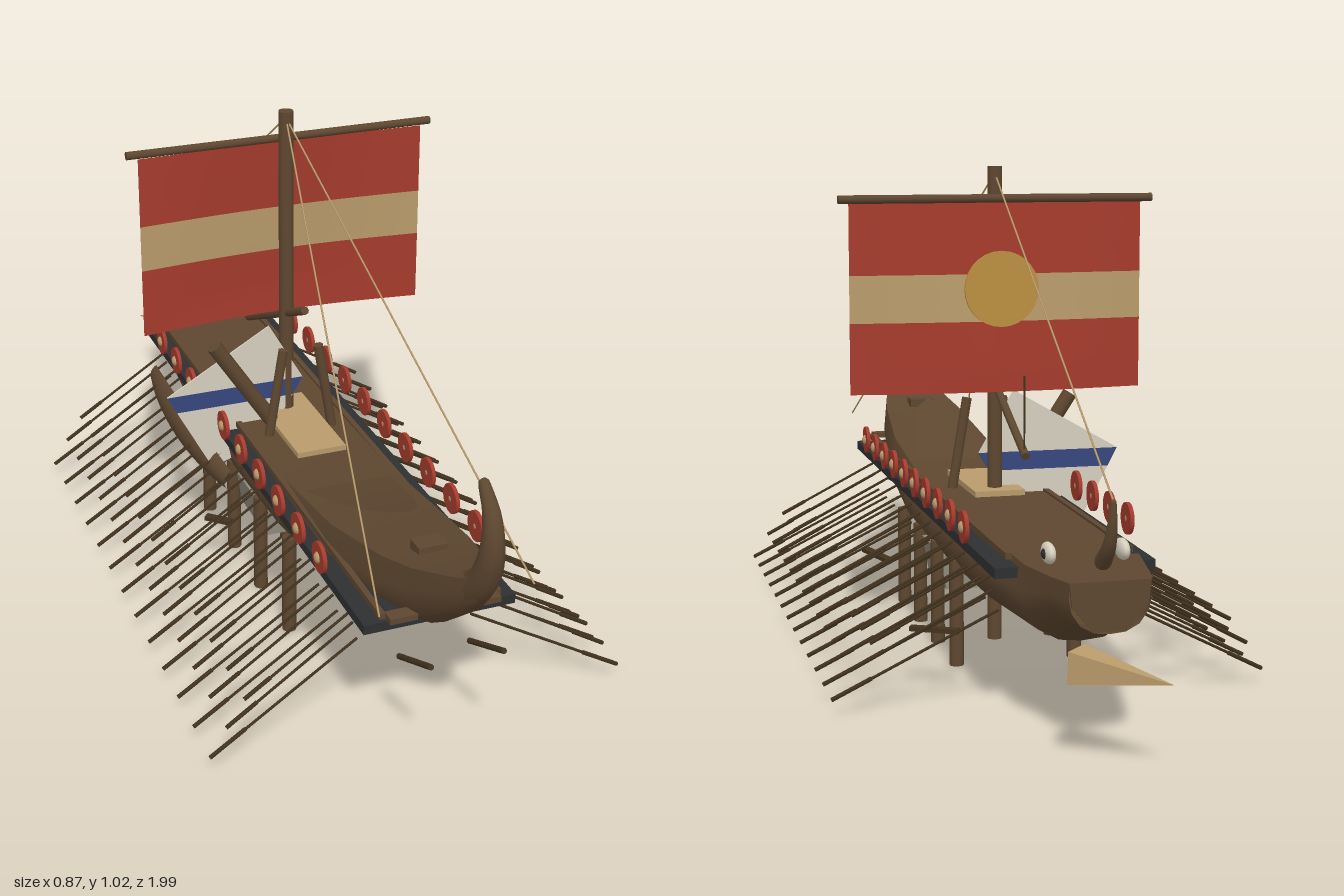
import * as THREE from 'three';

const mat = (name, color, side = THREE.DoubleSide) => {
  const m = new THREE.MeshStandardMaterial({ color, side });
  m.name = name;
  return m;
};

export function createModel() {
  const ship = new THREE.Group();
  ship.name = 'galley';
  const wood = mat('hull wood', 0x5e4730), oarWood = mat('oar wood', 0x43331f);
  const red = mat('red', 0xa63b2d), tan = mat('tan', 0xb99b6b), charcoal = mat('charcoal', 0x2e2f31);
  const white = mat('white', 0xd6d0be), blue = mat('blue', 0x36477f);
  const gold = mat('gold', 0xbb9040), grey = mat('grey', 0x8f897b);

  const add = (name, geo, m, x = 0, y = 0, z = 0, parent = ship) => {
    const mesh = new THREE.Mesh(geo, m);
    mesh.name = name;
    mesh.position.set(x, y, z);
    parent.add(mesh);
    return mesh;
  };
  const box = (name, m, w, h, d, x, y, z) => add(name, new THREE.BoxGeometry(w, h, d), m, x, y, z);
  const UP = new THREE.Vector3(0, 1, 0);
  // Round bar between two points
  const rod = (name, m, a, b, r, seg = 8, r2 = r, parent = ship) => {
    const A = new THREE.Vector3(...a), B = new THREE.Vector3(...b), d = B.clone().sub(A);
    const mesh = add(name, new THREE.CylinderGeometry(r2, r, d.length(), seg), m, 0, 0, 0, parent);
    mesh.position.copy(A).add(B).multiplyScalar(0.5);
    mesh.quaternion.setFromUnitVectors(UP, d.normalize());
    return mesh;
  };
  // Surface from a rule fn(u, v) -> [x, y, z]
  const surface = (nu, nv, fn) => {
    const g = new THREE.PlaneGeometry(1, 1, nu, nv), p = g.attributes.position;
    for (let j = 0, k = 0; j <= nv; j++) {
      for (let i = 0; i <= nu; i++) p.setXYZ(k++, ...fn(i / nu, j / nv));
    }
    g.computeVertexNormals();
    return g;
  };
  // Flat sheet in the xy plane
  const sheet = (pts, depth = 0.004) => new THREE.ExtrudeGeometry(
    new THREE.Shape(pts.map(p => new THREE.Vector2(...p))), { depth, bevelEnabled: false });

  // Hull stations: z, half width, gunwale height, keel height, bulge
  const stations = [
    [-0.87, 0.075, 0.325, 0.23, 1], [-0.8, 0.09, 0.322, 0.228, 1], [-0.7, 0.108, 0.32, 0.172, 1.05],
    [-0.4, 0.112, 0.32, 0.157, 1.22], [0, 0.112, 0.32, 0.15, 1.27], [0.25, 0.112, 0.325, 0.16, 1.25],
    [0.5, 0.11, 0.358, 0.195, 1.15], [0.7, 0.092, 0.4, 0.25, 1.08], [0.8, 0.072, 0.425, 0.293, 1.03],
    [0.9, 0.042, 0.46, 0.375, 1], [0.95, 0.02, 0.48, 0.425, 1]];
  const section = [[0, 0], [0.38, 0.03], [0.72, 0.17], [0.94, 0.42], [1, 0.66], [0, 1]];
  const hullPoint = (i, j) => {
    const [z, hw, gy, ky, bulge] = stations[i], s = j < 5 ? 1 : -1;
    const k = s > 0 ? 5 - j : j - 5;
    const [f, h] = section[k];
    return k === 5 ? [s * hw, gy, z] : [s * f * hw * bulge, ky + (gy - ky) * h, z];
  };
  const last = stations.length - 1;
  add('hull', surface(10, last, (u, v) => {
    const j = Math.round(u * 10), i = Math.round(v * last);
    if (j === 10) return [-stations[i][1], stations[i][2], stations[i][0]];
    return hullPoint(i, j);
  }), wood);
  add('deck', surface(1, last, (u, v) => {
    const [z, hw, gy] = stations[Math.round(v * last)];
    return [(u - 0.5) * 2 * hw, gy, z];
  }), wood);
  add('bowEnd', sheet([[-0.075, 0.325], [-0.07, 0.28], [-0.03, 0.234], [0.03, 0.234], [0.07, 0.28], [0.075, 0.325]]),
    wood, 0, 0, -0.871);
  add('foredeck', surface(1, 1, (u, v) => [(u - 0.5) * (v ? 0.225 : 0.155), 0.327, v ? -0.69 : -0.87]), wood);

  // Outrigger and rails
  box('outrigger', charcoal, 0.31, 0.02, 1.44, 0, 0.297, 0.06);
  for (const s of [-1, 1]) {
    box('rail', wood, 0.012, 0.012, 1.4, s * 0.118, 0.319, 0.08);
    box('sternBracket', wood, 0.055, 0.012, 0.03, s * 0.085, 0.32, 0.79);
  }

  // Raised pointed deck leaf and stern seat
  add('deckLeaf', surface(8, 10, (u, v) => [
    (u - 0.5) * 0.2 * Math.sqrt(1 - v), 0.325 + 0.11 * v * (0.7 + 0.3 * v), 0.28 + 0.35 * v]), wood);
  box('sternSeat', wood, 0.06, 0.02, 0.04, 0, 0.412, 0.72);
  box('hatch', tan, 0.11, 0.012, 0.27, 0, 0.331, 0.035);

  // Curled, tapering ends
  const horn = (name, pts, r0, r1) => {
    const c = new THREE.CatmullRomCurve3(pts.map(([y, z]) => new THREE.Vector3(0, y, z)));
    const n = 14, seg = 10;
    add(name, surface(seg, n, (u, v) => {
      const p = c.getPoint(v), t = c.getTangent(v), r = r0 + (r1 - r0) * v, a = u * Math.PI * 2;
      return [Math.cos(a) * r, p.y - t.z * Math.sin(a) * r, p.z + t.y * Math.sin(a) * r];
    }), wood);
    add(name + 'Tip', new THREE.SphereGeometry(r1, 8, 6), wood, 0, ...pts[pts.length - 1]);
    add(name + 'Root', new THREE.SphereGeometry(r0, 10, 8), wood, 0, ...pts[0]);
  };
  horn('sternPost', [[0.41, 0.88], [0.465, 0.94], [0.54, 0.972], [0.61, 0.965], [0.655, 0.93]], 0.036, 0.011);
  horn('bowHorn', [[0.35, -0.825], [0.385, -0.86], [0.425, -0.876], [0.465, -0.88]], 0.016, 0.006);

  // Loose ram
  const ram = rod('ram', tan, [0.06, 0.178, -0.862], [-0.072, 0.17, -0.995], 0.042, 4, 0.001);
  ram.geometry = ram.geometry.toNonIndexed();
  ram.geometry.computeVertexNormals();

  // Eyes
  for (const s of [-1, 1]) {
    add('eye', new THREE.SphereGeometry(1, 14, 10), white, s * 0.07, 0.345, -0.72).scale.set(0.012, 0.02, 0.032);
    add('pupil', new THREE.SphereGeometry(1, 10, 8), charcoal, s * 0.079, 0.345, -0.725).scale.set(0.006, 0.01, 0.012);
  }

  // Mast, yard and striped sail
  rod('mast', wood, [0, 0, -0.05], [0, 1.025, -0.05], 0.016, 12);
  rod('yard', wood, [-0.34, 0.958, -0.076], [0.34, 0.958, -0.076], 0.009);
  [[0.95, 0.8, red], [0.8, 0.7, tan], [0.7, 0.55, red]].forEach(([top, bottom, m]) =>
    add('sailStripe', surface(14, 5, (u, v) => {
      const y = top + (bottom - top) * v, x = (u - 0.5) * 0.634;
      const belly = Math.min(1, 0.25 + 2.2 * (0.95 - y));
      return [x, y, -0.07 - 0.027 * belly * Math.cos(Math.PI * (u - 0.5))];
    }), m));
  add('sailDisc', new THREE.CylinderGeometry(0.08, 0.08, 0.006, 28), gold, 0, 0.77, -0.11).rotation.x = Math.PI / 2;

  // Rigging
  for (const s of [-1, 1]) rod('sternStay', tan, [0, 1.01, -0.05], [s * 0.155, 0.37, 0.85], 0.002, 5);
  rod('bowStay', tan, [0, 1.01, -0.05], [0, 0.47, -0.878], 0.002, 5);
  rod('looseLine', oarWood, [0, 0.45, -0.295], [0, 0.61, -0.295], 0.002, 5);
  rod('fallenSpar', wood, [0, 0.617, 0.065], [0, 0.447, -0.305], 0.009);

  // Deck posts
  for (const s of [-1, 1]) rod('deckPost', wood, [s * 0.075, 0.31, 0.04], [s * 0.04, 0.52, 0.04], 0.011);
  rod('leaningPost', wood, [-0.05, 0.33, -0.01], [-0.18, 0.53, -0.01], 0.017);

  // Fallen cloth with a level band
  const cloth = new THREE.Group();
  cloth.name = 'fallenCloth';
  ship.add(cloth);
  add('clothTop', sheet([[-0.28, 0.41], [-0.045, 0.545], [0.033, 0.41]]), white, 0, 0, -0.04, cloth);
  add('clothBand', sheet([[-0.28, 0.41], [0.033, 0.41], [0.01, 0.37], [-0.259, 0.37]]), blue, 0, 0, -0.04, cloth);
  add('clothBottom', sheet([[-0.259, 0.37], [0.01, 0.37], [-0.05, 0.27], [-0.18, 0.22]]), white, 0, 0, -0.04, cloth);

  // Shields
  for (const s of [-1, 1]) for (let i = 0; i < 10; i++) {
    const z = 0.583 - i * 0.116;
    add('shield', new THREE.CylinderGeometry(0.032, 0.032, 0.008, 18), red, s * 0.166, 0.343, z).rotation.z = Math.PI / 2;
    add('shieldBoss', new THREE.SphereGeometry(0.012, 10, 8), tan, s * 0.169, 0.343, z).scale.x = 0.7;
  }

  // Three banks of oars: inner x, inner y, tip x, tip y
  const banks = [[0.13, 0.27, 0.362, 0.142], [0.13, 0.24, 0.4, 0.09], [0.12, 0.2, 0.435, 0.033]];
  for (const s of [-1, 1]) for (let i = 0; i < 13; i++) for (const [x0, y0, x1, y1] of banks) {
    const zTip = -0.51 + i * 0.1017 - (0.435 - x1) * 0.13;
    const at = t => [s * (x0 + (x1 - x0) * t), y0 + (y1 - y0) * t, zTip - (x1 - x0) * 0.14 * (1 - t)];
    rod('oar', oarWood, at(0), at(1), 0.003, 5);
    rod('oarBlade', oarWood, at(0.76), at(1), 0.0045, 5);
  }

  // Props under the hull
  for (const s of [-1, 1]) for (let i = 0; i < 4; i++) {
    const z = 0.31 - i * 0.18;
    rod('prop', wood, [s * 0.127, 0, z], [s * 0.127, 0.225, z], 0.015, 10);
  }

  // Keel cradle and broken hull plate
  add('keelCradle', sheet([[-0.125, 0.2], [-0.11, 0.118], [0.11, 0.118], [0.125, 0.2]], 0.18), grey, 0, 0, -0.06);
  add('brokenPlate', surface(12, 10, (u, v) => {
    const taper = Math.pow(Math.sin(Math.PI * (0.12 + 0.76 * u)), 0.6), a = -0.75 + 1.75 * v;
    return [-0.145 - 0.062 * Math.cos(a) * taper, 0.222 + 0.055 * Math.sin(a) * taper, -0.53 + 0.57 * u];
  }), wood);

  // Broken steering oars and loose planks
  for (const s of [-1, 1]) rod('steeringOar', oarWood, [s * 0.073, 0.275, 0.9], [s * 0.073, 0.208, 0.76], 0.006);
  [[0, 0.49, 0.11, 0.08, 0], [0.2, 0.265, 0.02, 0.13, 0.25], [0.21, -0.395, 0.1, 0.018, -0.5],
    [-0.19, 0.03, 0.062, 0.018, -0.75]].forEach(([x, z, w, d, turn]) => {
    box('loosePlank', oarWood, w, 0.009, d, x, 0.125, z).rotation.y = turn;
  });
  return ship;
}
